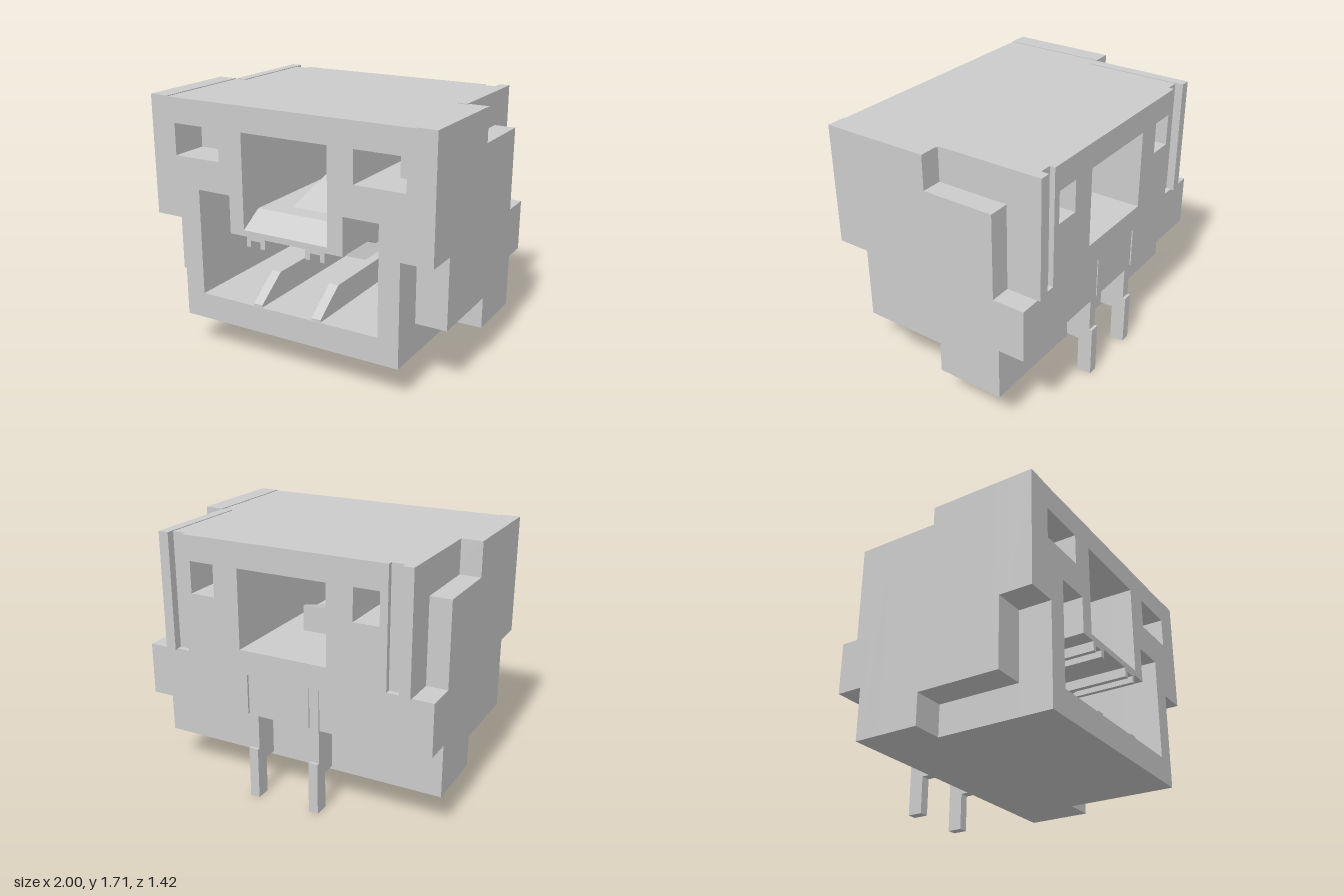
import * as THREE from 'three';

const material = new THREE.MeshStandardMaterial({ color: 0xcccccc, flatShading: true });

function polygon(points) {
  return new THREE.Shape(points.map(([x, y]) => new THREE.Vector2(x, y)));
}

const mirrored = (pts) => [...pts, ...pts.map(([x, y]) => [-x, y]).reverse()];

function rect(x0, x1, y0, y1) {
  return [[x0, y0], [x1, y0], [x1, y1], [x0, y1]];
}

// Extrude a side profile of [z, y] points across x
function sideProfile(name, points, width, x = 0) {
  const geometry = new THREE.ExtrudeGeometry(polygon(points), { depth: width, bevelEnabled: false });
  geometry.rotateY(-Math.PI / 2);
  geometry.translate(x + width / 2, 0, 0);
  const mesh = new THREE.Mesh(geometry, material);
  mesh.name = name;
  return mesh;
}

// Right half of the housing outline at depth z, from bottom to top
function outline(z) {
  const p = [];
  if (z < -0.52) p.push([0.183, 0.58], [0.183, 0.85], [0.258, 0.85], [0.258, 0.58], [1, 0.58]);
  else if (z > 0.49) p.push([0.79, 0.23], [0.79, 0.91], [1, 0.91]);
  else if (z > -0.07) p.push([0.79, 0.23], [0.79, 0.44], [1, 0.44]);
  else p.push([1, 0.23]);

  if (z > -0.01) p.push([1, 1.705], [0.87, 1.705], [0.87, 1.7]);
  else {
    const shelf = z < -0.485 ? 0.925 : 1.48;
    p.push([1, shelf], [0.86, shelf], [0.86, 1.705], [0.79, 1.705]);
    // Vertical groove beside the rear ridge
    if (z < -0.66) p.push([0.79, 0.93], [0.7, 0.93], [0.7, 1.7]);
    else p.push([0.79, 1.7]);
  }
  return mirrored(p);
}

// Openings through the housing at depth z
function openings(z) {
  const list = [rect(-0.305, 0.305, z > 0.55 ? 0.91 : 1.01, 1.535)];
  const outer = z > 0.45 ? 0.82 : 0.65;
  for (const s of [-1, 1]) list.push(rect(s * 0.48, s * outer, 1.325, 1.535));
  if (z > -0.35) {
    // Plug cavity with slotted guide rails under its ceiling
    list.push(mirrored([
      [0.65, 0.405], [0.65, 1.12], [0.41, 1.12], [0.41, 0.87], [0.285, 0.87], [0.285, 0.805],
      [0.255, 0.805], [0.255, 0.85], [0.183, 0.85], [0.183, 0.805], [0.148, 0.805], [0.148, 0.87],
    ]));
  } else if (z > -0.52) {
    for (const s of [-1, 1]) list.push(rect(s * 0.183, s * 0.258, 0.575, 0.85));
  }
  return list;
}

export function createModel() {
  const model = new THREE.Group();
  model.name = 'connector';

  // Housing: slices from front to back
  const housing = new THREE.Group();
  housing.name = 'housing';
  const stations = [0.71, 0.55, 0.49, 0.45, -0.01, -0.07, -0.35, -0.485, -0.52, -0.66, -0.695];
  for (let i = 0; i < stations.length - 1; i++) {
    const [front, back] = [stations[i], stations[i + 1]];
    const mid = (front + back) / 2;
    const shape = polygon(outline(mid));
    shape.holes = openings(mid).map((pts) => polygon(pts));
    const geometry = new THREE.ExtrudeGeometry(shape, { depth: front - back, bevelEnabled: false });
    geometry.translate(0, 0, back);
    const slice = new THREE.Mesh(geometry, material);
    slice.name = 'housingSection' + (i + 1);
    housing.add(slice);
  }
  model.add(housing);

  // Latch window: sloped sill and locking tooth
  model.add(sideProfile('windowSill', [[0.71, 0.91], [0.55, 1.01], [0.55, 0.91]], 0.61));
  model.add(sideProfile('lockingTooth', [[0.42, 1.01], [-0.2, 1.185], [-0.2, 1.01]], 0.26));

  for (const s of [-1, 1]) {
    const side = s > 0 ? 'left' : 'right';

    // Rear ridges
    const ridge = new THREE.Mesh(new THREE.BoxGeometry(0.07, 0.78, 0.02), material);
    ridge.position.set(s * 0.825, 1.315, -0.705);
    ridge.name = side + 'RearRidge';
    model.add(ridge);

    // Forked contact with a solder tail
    model.add(sideProfile(side + 'Contact', [
      [0.705, 0.4], [0.705, 0.42], [0.49, 0.575], [-0.2, 0.575], [-0.2, 0.7], [0, 0.7], [0.3, 0.848],
      [-0.69, 0.848], [-0.69, 0.35], [-0.71, 0.35], [-0.71, 0], [-0.61, 0], [-0.61, 0.25],
      [-0.5, 0.25], [-0.5, 0.4],
    ], 0.065, s * 0.218));
  }
  return model;
}
